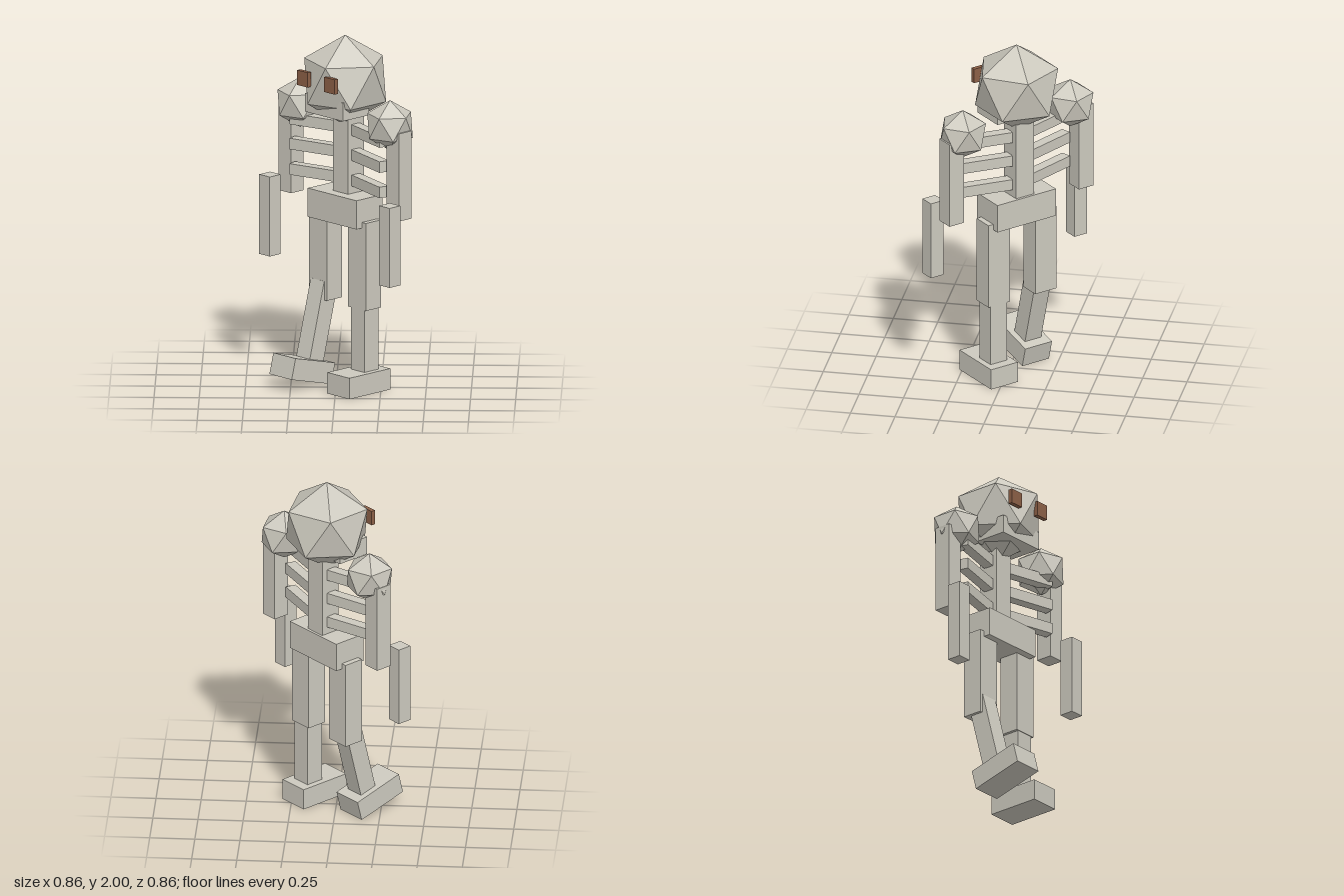
import * as THREE from 'three';

export function createModel() {
  const bone = new THREE.MeshStandardMaterial({ color: 0xccc9be });
  bone.name = 'bone';
  const brown = new THREE.MeshStandardMaterial({ color: 0x8c6047 });
  brown.name = 'eyeBrown';

  const model = new THREE.Group();
  model.name = 'skeleton';
  // The figure is turned to face between -x and +z
  const body = new THREE.Group();
  body.name = 'body';
  body.position.set(0.05, 0, -0.05);
  body.rotation.y = -Math.PI / 4;
  model.add(body);

  function box(name, w, h, d, x, y, z, parent = body, material = bone) {
    const mesh = new THREE.Mesh(new THREE.BoxGeometry(w, h, d), material);
    mesh.name = name;
    mesh.position.set(x, y, z);
    parent.add(mesh);
    return mesh;
  }

  // Faceted ball standing on one of its corners
  function ball(name, radius, x, y, z) {
    const geometry = new THREE.IcosahedronGeometry(radius, 0);
    geometry.rotateZ(-Math.atan2(2, 1 + Math.sqrt(5)));
    const mesh = new THREE.Mesh(geometry, bone);
    mesh.name = name;
    mesh.position.set(x, y, z);
    body.add(mesh);
  }

  // Head and trunk
  ball('head', 0.257, 0, 1.743, 0);
  box('jaw', 0.304, 0.105, 0.2, 0, 1.615, 0.063);
  box('spine', 0.12, 0.48, 0.12, 0, 1.315, -0.025);
  box('pelvis', 0.39, 0.164, 0.2, 0, 1.024, 0);

  for (const [side, s] of [['left', 1], ['right', -1]]) {
    box(side + 'Eye', 0.083, 0.085, 0.025, s * 0.108, 1.768, 0.211, body, brown);

    // Ribs curve forward at their outer ends
    for (const y of [1.468, 1.325, 1.18]) {
      const rib = box(side + 'Rib', 0.32, 0.063, 0.06, s * 0.212, y, 0.015);
      rib.rotation.y = -s * 0.244;
    }

    // Arm
    ball(side + 'Shoulder', 0.143, s * 0.359, 1.55, 0);
    box(side + 'UpperArm', 0.098, 0.5, 0.098, s * 0.432, 1.282, 0);
    box(side + 'Forearm', 0.084, 0.454, 0.084, s * 0.479, 0.907, 0.117);

    // Leg: the right shin and foot swing forward from the knee
    box(side + 'Thigh', 0.142, 0.5, 0.118, s * 0.156, 0.725, 0);
    const lowerLeg = new THREE.Group();
    lowerLeg.name = side + 'LowerLeg';
    lowerLeg.position.set(s * 0.156, 0.6, 0);
    box(side + 'Shin', 0.108, 0.48, 0.108, 0, -0.28, 0, lowerLeg);
    box(side + 'Foot', 0.178, 0.12, 0.312, 0, -0.54, 0.045, lowerLeg);
    if (s < 0) {
      lowerLeg.position.y = 0.609;
      lowerLeg.rotation.x = -0.253;
    }
    body.add(lowerLeg);
  }
  return model;
}
